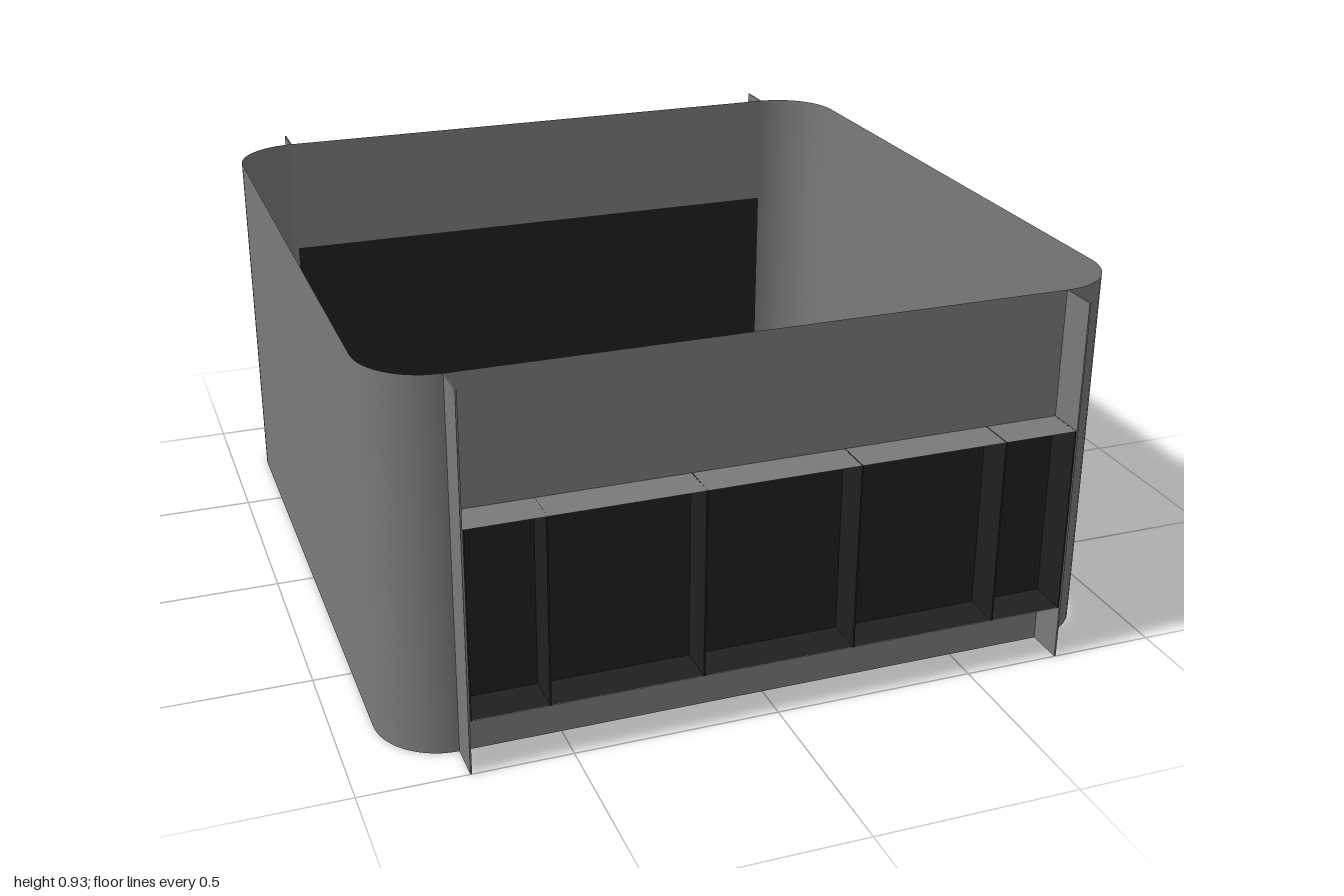
import * as THREE from 'three';

const W = 0.74;        // half width of the straight walls
const R = 0.165;       // corner radius
const FACE = W + R;    // distance of the walls from the centre
const H = 0.927;       // height
const SILL = 0.137, HEAD = 0.608; // window band
const DEPTH = 1 - FACE; // how far the frames stand out
const THIN = 0.004;    // thickness of flanges and mullions

const grey = new THREE.MeshStandardMaterial({ color: 0x7a7a7a, side: THREE.DoubleSide });
const dark = new THREE.MeshStandardMaterial({ color: 0x202020, side: THREE.DoubleSide });
const darkFront = new THREE.MeshStandardMaterial({ color: 0x202020 });

// Side wall that wraps around two rounded corners
function sideWallGeometry(steps = 12) {
  const pos = [], nor = [], idx = [];
  for (let corner = 0; corner < 2; corner++) {
    for (let i = 0; i <= steps; i++) {
      const a = (corner + i / steps) * Math.PI / 2;
      const nx = Math.sin(a), nz = Math.cos(a);
      const x = W + R * nx, z = (corner ? -W : W) + R * nz;
      pos.push(x, H, z, x, 0, z);
      nor.push(nx, 0, nz, nx, 0, nz);
    }
  }
  for (let k = 0; k < 2 * steps + 1; k++) {
    const a = 2 * k;
    idx.push(a, a + 1, a + 3, a, a + 3, a + 2);
  }
  const g = new THREE.BufferGeometry();
  g.setAttribute('position', new THREE.Float32BufferAttribute(pos, 3));
  g.setAttribute('normal', new THREE.Float32BufferAttribute(nor, 3));
  g.setIndex(idx);
  return g;
}

// Full-width upright panel facing +z
function panel(name, y0, y1, material) {
  const m = new THREE.Mesh(new THREE.PlaneGeometry(2 * W, y1 - y0), material);
  m.position.set(0, (y0 + y1) / 2, FACE);
  m.name = name;
  return m;
}

// Thin upright plate standing out from the wall
function fin(name, x, y0, y1, material) {
  const m = new THREE.Mesh(new THREE.BoxGeometry(THIN, y1 - y0, DEPTH), material);
  m.position.set(x, (y0 + y1) / 2, FACE + DEPTH / 2);
  m.name = name;
  return m;
}

// Level plate standing out from the wall; turn = 1 faces down, -1 faces up
function ledge(name, y, material, turn = 1) {
  const m = new THREE.Mesh(new THREE.PlaneGeometry(2 * W, DEPTH), material);
  m.rotation.x = turn * Math.PI / 2;
  m.position.set(0, y, FACE + DEPTH / 2);
  m.name = name;
  return m;
}

function windowWall() {
  const g = new THREE.Group();
  g.add(panel('upperPanel', HEAD, H, grey));
  g.add(panel('lowerPanel', 0, SILL, grey));

  // Window with thin mullions dividing it
  g.add(panel('window', SILL, HEAD, dark));
  for (const x of [-0.553, -0.187, 0.187, 0.553]) g.add(fin('mullion', x, SILL, HEAD, dark));

  // Ledges above and below the window, dark towards the opening
  g.add(ledge('windowHead', HEAD, grey));
  g.add(ledge('windowHeadLining', HEAD - 0.002, darkFront, 1));
  g.add(ledge('windowSill', SILL, grey));
  g.add(ledge('windowSillLining', SILL + 0.002, darkFront, -1));

  // Full-height end flanges, dark beside the opening
  for (const s of [-1, 1]) {
    g.add(fin('endFlange', s * W, 0, H, grey));
    g.add(fin('endFlangeLining', s * (W - THIN), SILL, HEAD, dark));
  }
  return g;
}

export function createModel() {
  const model = new THREE.Group();
  model.name = 'roundedEnclosure';

  const wall = sideWallGeometry();
  const front = windowWall(), back = windowWall();
  front.name = 'frontWindowWall';
  back.name = 'backWindowWall';
  back.rotation.y = Math.PI;
  model.add(front, back);

  ['leftSideWall', 'rightSideWall'].forEach((name, i) => {
    const m = new THREE.Mesh(wall, grey);
    m.name = name;
    m.rotation.y = i * Math.PI;
    model.add(m);
  });
  return model;
}
